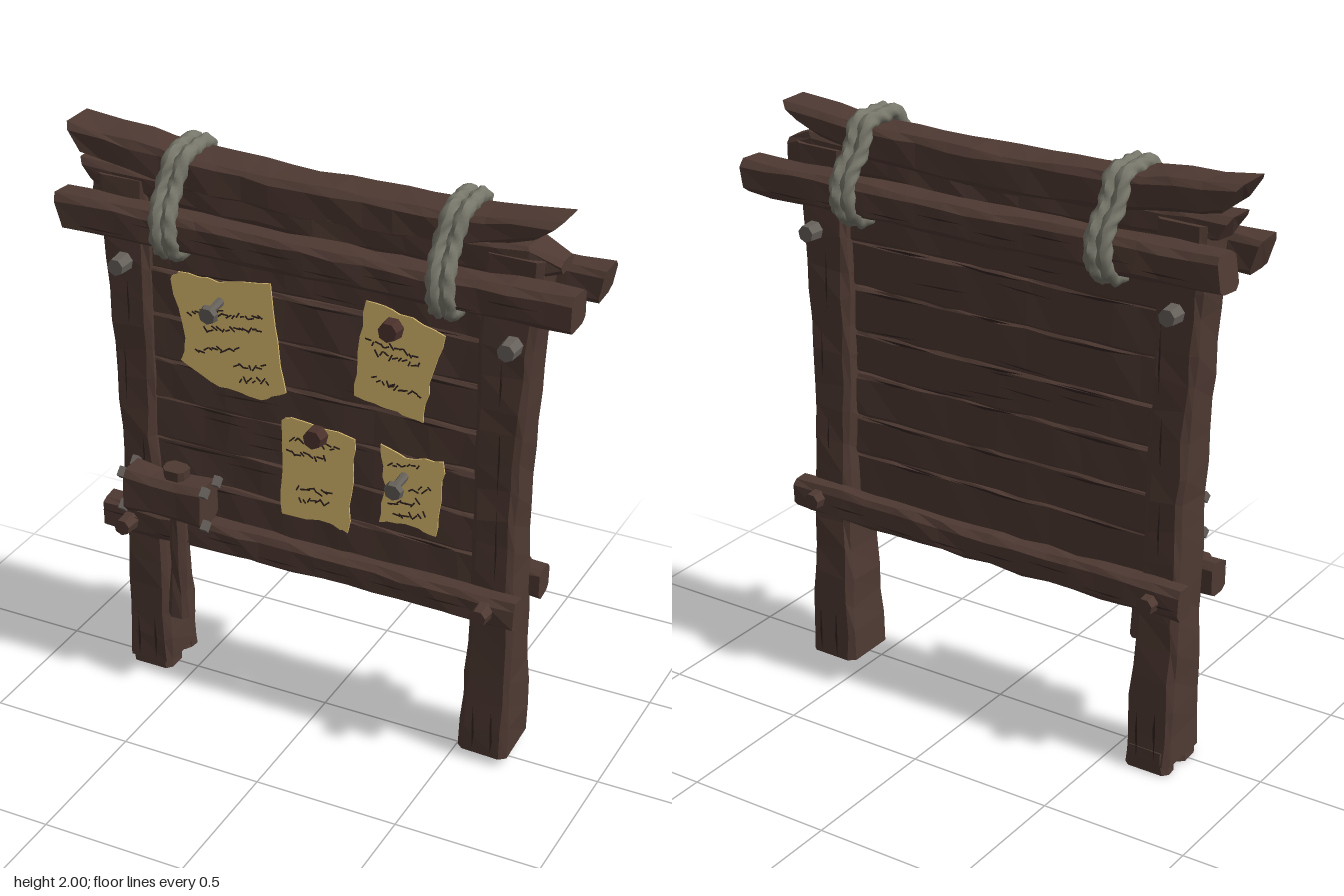
import * as THREE from 'three';
import { mergeGeometries } from 'three/addons/utils/BufferGeometryUtils.js';

const mat = (name, color, side = THREE.FrontSide) => {
  const m = new THREE.MeshStandardMaterial({ color, side });
  m.name = name;
  return m;
};

export function createModel() {
  const root = new THREE.Group();
  root.name = 'noticeBoard';
  const wood = mat('wood', 0x4e3932);
  const crack = mat('darkCrack', 0x30231f, THREE.DoubleSide);
  const paperMat = mat('paper', 0xd0b26a);
  const ropeMat = mat('rope', 0x77766a);
  const metal = mat('metal', 0x66605a);
  const pinMat = mat('pin', 0x4a302b);

  let seed = 7;
  const rnd = (a = -1, b = 1) => {
    seed = (seed * 16807) % 2147483647;
    return a + (b - a) * (seed / 2147483647);
  };
  const add = (name, geo, m, parent = root) => {
    const mesh = new THREE.Mesh(geo, m);
    mesh.name = name;
    parent.add(mesh);
    return mesh;
  };

  // Rough-hewn chamfered timber; stations are [along, v0, v1, z0, z1]
  function timber(name, axis, st, { skew = [0, 0], jit = 0.005, ch = 0.018 } = {}) {
    const u0 = st[0][0], u1 = st[st.length - 1][0];
    const n = Math.max(2, Math.round((u1 - u0) / 0.1));
    const rings = [];
    for (let i = 0; i <= n; i++) {
      const u = u0 + ((u1 - u0) * i) / n;
      let k = 0;
      while (k < st.length - 2 && u > st[k + 1][0]) k++;
      const t = (u - st[k][0]) / (st[k + 1][0] - st[k][0]);
      const [v0, v1, w0, w1] = [1, 2, 3, 4].map(j => st[k][j] + (st[k + 1][j] - st[k][j]) * t);
      const s = i === 0 ? skew[0] : i === n ? skew[1] : 0;
      rings.push([
        [v1, w0 + ch], [v1, w1 - ch], [v1 - ch, w1], [v0 + ch, w1],
        [v0, w1 - ch], [v0, w0 + ch], [v0 + ch, w0], [v1 - ch, w0],
      ].map(([v, w]) => [
        u + s * ((v - v0) / (v1 - v0) - 0.5) + (i % n ? rnd() * 0.015 : 0),
        v + rnd() * jit, w + rnd() * jit]));
    }
    const pos = [];
    const tri = (...c) => {
      if (axis === 'y') c.reverse();
      for (const [u, v, w] of c) axis === 'y' ? pos.push(v, u, w) : pos.push(u, v, w);
    };
    for (let i = 0; i < n; i++) for (let j = 0; j < 8; j++) {
      const k = (j + 1) % 8, a = rings[i][j], b = rings[i][k], c = rings[i + 1][k], d = rings[i + 1][j];
      tri(a, b, c);
      tri(a, c, d);
    }
    for (let j = 1; j < 7; j++) {
      tri(rings[n][0], rings[n][j], rings[n][j + 1]);
      tri(rings[0][0], rings[0][j + 1], rings[0][j]);
    }
    const g = new THREE.BufferGeometry();
    g.setAttribute('position', new THREE.Float32BufferAttribute(pos, 3));
    g.computeVertexNormals();
    return add(name, g, wood);
  }

  // Posts, flaring towards the feet
  timber('rightPost', 'y', [[0.03, -0.74, -0.57, -0.145, 0.07], [0.5, -0.735, -0.585, -0.115, 0.06],
    [0.9, -0.73, -0.6, -0.1, 0.075], [1.3, -0.745, -0.6, -0.085, 0.078], [1.85, -0.775, -0.6, -0.08, 0.078]]);
  timber('leftPost', 'y', [[0.03, 0.52, 0.695, -0.145, 0.07], [0.5, 0.545, 0.695, -0.115, 0.06],
    [0.9, 0.55, 0.69, -0.1, 0.075], [1.3, 0.55, 0.71, -0.085, 0.078], [1.85, 0.56, 0.75, -0.08, 0.078]]);
  for (const [z0, z1] of [[-0.145, -0.075], [-0.04, 0.06]])
    timber('splitFoot', 'y', [[0, -0.735, -0.575, z0, z1], [0.08, -0.73, -0.58, z0, z1]], { jit: 0.003 });

  // Panel boards, with one narrow gap on the left side
  const edges = [0.6, 0.78, 0.92, 1.075, 1.22, 1.38, 1.54, 1.68, 1.8];
  for (let i = 0; i < edges.length - 1; i++) {
    const y0 = edges[i] + 0.002, y1 = edges[i + 1] - 0.002, d = rnd() * 0.007;
    const gap = i === 2 ? 0.008 : 0;
    timber('panelBoard', 'x', [[-0.64, y0, y1 + 0.008, -0.04 + d, 0.045 + d],
      [0.1, y0, y1 + 0.008, -0.04 - d, 0.045 + d], [0.6, y0, y1 - gap, -0.04 + d, 0.045 - d]],
      { ch: 0.01, jit: 0.004 });
  }

  // Sagging ridge, the plank beneath it and the paired cross beams
  timber('ridgeBeam', 'x', [[-0.85, 1.9, 1.995, -0.085, 0.075], [-0.45, 1.84, 1.955, -0.085, 0.075],
    [0, 1.82, 1.94, -0.085, 0.07], [0.45, 1.835, 1.945, -0.085, 0.07], [0.755, 1.905, 1.975, -0.08, 0.065]],
    { skew: [-0.07, 0.09] });
  timber('underRidgePlank', 'x', [[-0.82, 1.8, 1.885, -0.065, 0.065], [0, 1.76, 1.86, -0.07, 0.07],
    [0.7, 1.78, 1.89, -0.07, 0.07], [0.8, 1.81, 1.85, -0.05, 0.05]], { skew: [-0.05, 0] });
  timber('frontTopBeam', 'x', [[-0.865, 1.67, 1.79, 0.055, 0.165], [-0.3, 1.675, 1.785, 0.06, 0.165],
    [0.4, 1.68, 1.785, 0.065, 0.17], [0.885, 1.685, 1.8, 0.06, 0.175]], { skew: [-0.04, 0] });
  timber('backTopBeam', 'x', [[-0.87, 1.68, 1.8, -0.17, -0.06], [0, 1.675, 1.785, -0.175, -0.065],
    [0.885, 1.68, 1.79, -0.185, -0.065]], { skew: [0.02, 0.02] });
  timber('frontLowerRail', 'x', [[-0.77, 0.57, 0.685, 0.05, 0.135], [0, 0.58, 0.685, 0.055, 0.13],
    [0.73, 0.58, 0.68, 0.05, 0.135]]);
  timber('backLowerRail', 'x', [[-0.77, 0.58, 0.685, -0.17, -0.085], [0, 0.575, 0.68, -0.165, -0.09],
    [0.73, 0.58, 0.685, -0.17, -0.085]]);

  // Dark grain slivers on the front and back faces
  const slivers = [];
  const sliver = (x, y, z, len, w, angle) => {
    const s = new THREE.Shape();
    s.moveTo(-len / 2, 0);
    s.lineTo(len * rnd(-0.2, 0.2), -w);
    s.lineTo(len / 2, 0);
    s.lineTo(len * rnd(-0.2, 0.2), w * 0.4);
    slivers.push(new THREE.ShapeGeometry(s).rotateZ(angle).translate(x, y, z));
  };
  for (const z of [0.056, -0.052]) {
    for (const y of edges.slice(1, 8))
      for (const x of [-0.38, 0.02, 0.36])
        sliver(x + rnd() * 0.05, y + rnd() * 0.006, z, rnd(0.15, 0.34), 0.007, rnd() * 0.04);
    for (let i = 0; i < 14; i++) sliver(rnd() * 0.4, rnd(0.75, 1.62), z, rnd(0.1, 0.25), 0.004, rnd() * 0.06);
  }
  for (const x of [-0.665, 0.62]) for (const y of [0.85, 1.15, 1.42])
    for (const z of [0.084, -0.107]) sliver(x + rnd() * 0.03, y, z, rnd(0.15, 0.3), 0.005, Math.PI / 2);
  for (const x of [-0.66, 0.61]) for (const dx of [-0.03, 0.035])
    for (const z of [0.076, -0.15]) sliver(x + dx, 0.13, z, 0.18, 0.007, Math.PI / 2);
  for (let i = 0; i < 8; i++) {
    const x = -0.7 + i * 0.2;
    sliver(x, 1.73 + rnd() * 0.03, 0.181, 0.18, 0.004, 0);
    sliver(x, 1.73 + rnd() * 0.03, -0.19, 0.18, 0.004, 0);
    if (i < 7) sliver(x, 0.63 + rnd() * 0.025, 0.141, 0.16, 0.004, 0);
    if (i < 7) sliver(x, 0.63 + rnd() * 0.025, -0.176, 0.16, 0.004, 0);
  }
  add('woodGrain', mergeGeometries(slivers), crack);

  // Twisted double rope lashings
  const half = [[0.075, 1.96], [0.12, 1.88], [0.175, 1.8], [0.18, 1.71], [0.12, 1.652], [0.05, 1.66]];
  const loop = [[0, 1.967], ...half, ...half.map(([z, y]) => [-z - 0.005, y]).reverse()];
  for (const cx of [-0.475, 0.47]) for (const side of [-1, 1]) {
    const path = new THREE.CatmullRomCurve3(
      loop.map(([z, y], i) => new THREE.Vector3(cx + side * 0.022 + Math.sin(i * 2.1) * 0.005, y, z)), true);
    const segs = 110, rad = 12;
    const g = new THREE.TubeGeometry(path, segs, 0.024, rad, true);
    const p = g.attributes.position, c = new THREE.Vector3(), v = new THREE.Vector3();
    for (let i = 0; i <= segs; i++) {
      path.getPointAt((i % segs) / segs, c);
      for (let j = 0; j <= rad; j++) {
        const k = i * (rad + 1) + j;
        const swell = 1 + 0.17 * Math.cos(3 * (j / rad) * Math.PI * 2 - side * (i / segs) * Math.PI * 2 * 18);
        v.fromBufferAttribute(p, k).sub(c).multiplyScalar(swell).add(c);
        p.setXYZ(k, v.x, v.y, v.z);
      }
    }
    g.computeVertexNormals();
    add('ropeLashing', g, ropeMat);
  }

  // Faceted pegs and nails pointing along z
  const peg = (name, x, y, z, r, len, m, tilt = 0, parent = root) => {
    const g = new THREE.CylinderGeometry(r * 0.85, r, len, 7).rotateX(Math.PI / 2).toNonIndexed();
    g.computeVertexNormals();
    const mesh = add(name, g, m, parent);
    mesh.position.set(x, y, z);
    mesh.rotation.x = tilt;
    return mesh;
  };
  for (const [x, y, zf, zb] of [[-0.68, 1.565, 0.105, -0.105], [0.67, 1.565, 0.105, -0.105],
    [-0.67, 0.625, 0.155, -0.175], [0.63, 0.64, 0.155, -0.175]]) {
    const m = y > 1 ? metal : wood;
    peg('frontPeg', x, y, zf, 0.034, 0.07, m);
    peg('backPeg', x, y, zb, 0.034, 0.06, m).rotation.y = Math.PI;
  }

  // Torn notices: outline, scribble rows [x, y, width, slant], pin
  const notices = [
    { at: [-0.31, 1.38], rows: [[-0.08, 0.06, 0.12], [0.04, 0.07, 0.17], [0.02, 0.02, 0.2], [-0.03, -0.06, 0.16],
      [0.09, -0.09, 0.11], [0.1, -0.14, 0.1]], slant: 0.2, pin: [-0.03, 0.1, 0], 
      pts: [[-0.21, 0.15], [-0.18, 0.18], [-0.04, 0.175], [0.15, 0.2], [0.18, 0.02], [0.21, -0.16], [0.12, -0.2], [-0.03, -0.19], [-0.17, -0.13], [-0.155, -0.05]] },
    { at: [0.29, 1.41], rows: [[-0.02, 0.05, 0.17], [0, 0.02, 0.15], [-0.04, -0.07, 0.08], [0.03, -0.08, 0.1]], slant: -0.1, pin: [-0.02, 0.12, 1],
      pts: [[-0.12, 0.19], [0, 0.17], [0.155, 0.13], [0.11, -0.04], [0.09, -0.18], [0.0, -0.16], [-0.15, -0.14], [-0.135, 0.02]] },
    { at: [0, 0.945], rows: [[0, 0.11, 0.17], [-0.03, 0.06, 0.13], [0, -0.06, 0.12], [0, -0.1, 0.1]], slant: 0, pin: [0.01, 0.145, 1],
      pts: [[-0.13, 0.16], [-0.09, 0.18], [0.14, 0.16], [0.135, 0], [0.125, -0.18], [0.06, -0.165], [-0.12, -0.17], [-0.115, 0]] },
    { at: [0.335, 0.965], rows: [[-0.02, 0.09, 0.1], [0.04, 0.02, 0.07], [-0.01, -0.04, 0.11], [0.01, -0.08, 0.1]], slant: 0.25, pin: [-0.02, 0.045, 0],
      pts: [[-0.11, 0.14], [-0.02, 0.12], [0.115, 0.13], [0.11, 0], [0.1, -0.135], [0.02, -0.115], [-0.1, -0.13], [-0.085, 0]] },
  ];
  for (const { at, rows, slant, pin, pts } of notices) {
    const g = new THREE.Group();
    g.name = 'notice';
    g.position.set(at[0], at[1], 0.068);
    g.rotation.x = -0.07;
    root.add(g);
    const outline = [];
    pts.forEach(([x, y], i) => {
      const [nx, ny] = pts[(i + 1) % pts.length];
      for (let k = 0; k < 4; k++) outline.push(new THREE.Vector2(
        x + (nx - x) * k / 4 + rnd() * 0.005, y + (ny - y) * k / 4 + rnd() * 0.005));
    });
    add('paperSheet', new THREE.ExtrudeGeometry(new THREE.Shape(outline), { depth: 0.006, bevelEnabled: false }), paperMat, g);
    const strokes = [];
    for (const [x, y, w] of rows) for (let d = -w / 2; d < w / 2; d += 0.016)
      strokes.push(new THREE.BoxGeometry(rnd(0.014, 0.028), 0.005, 0.002)
        .rotateZ(rnd() * 1.2).translate(x + d, y + d * slant + rnd() * 0.007, 0.007));
    add('scribbles', mergeGeometries(strokes), crack, g);
    const [px, py, round] = pin;
    if (round) peg('roundPin', px, py, 0.035, 0.038, 0.045, pinMat, 0, g);
    else {
      peg('nailShank', px, py, 0.045, 0.016, 0.09, metal, 0.15, g);
      peg('nailHead', px, py - 0.012, 0.085, 0.034, 0.02, metal, 0.15, g);
    }
  }

  // Mallet hanging on the lower rail
  timber('malletHead', 'x', [[-0.645, 0.705, 0.86, 0.085, 0.21], [-0.5, 0.715, 0.845, 0.09, 0.205],
    [-0.355, 0.705, 0.855, 0.085, 0.21]], { ch: 0.022, jit: 0.003 });
  timber('malletHandle', 'y', [[0.315, -0.515, -0.435, 0.1, 0.178], [0.36, -0.51, -0.44, 0.103, 0.172],
    [0.7, -0.505, -0.45, 0.112, 0.165], [0.885, -0.52, -0.435, 0.105, 0.18]], { jit: 0.003 });
  for (const x of [-0.655, -0.345]) for (const [y, z] of [[0.845, 0.19], [0.72, 0.19], [0.845, 0.105]]) {
    const chip = add('wornCorner', new THREE.BoxGeometry(0.022, 0.028, 0.034), metal);
    chip.position.set(x, y, z);
    chip.rotation.x = Math.PI / 4;
  }
  return root;
}
